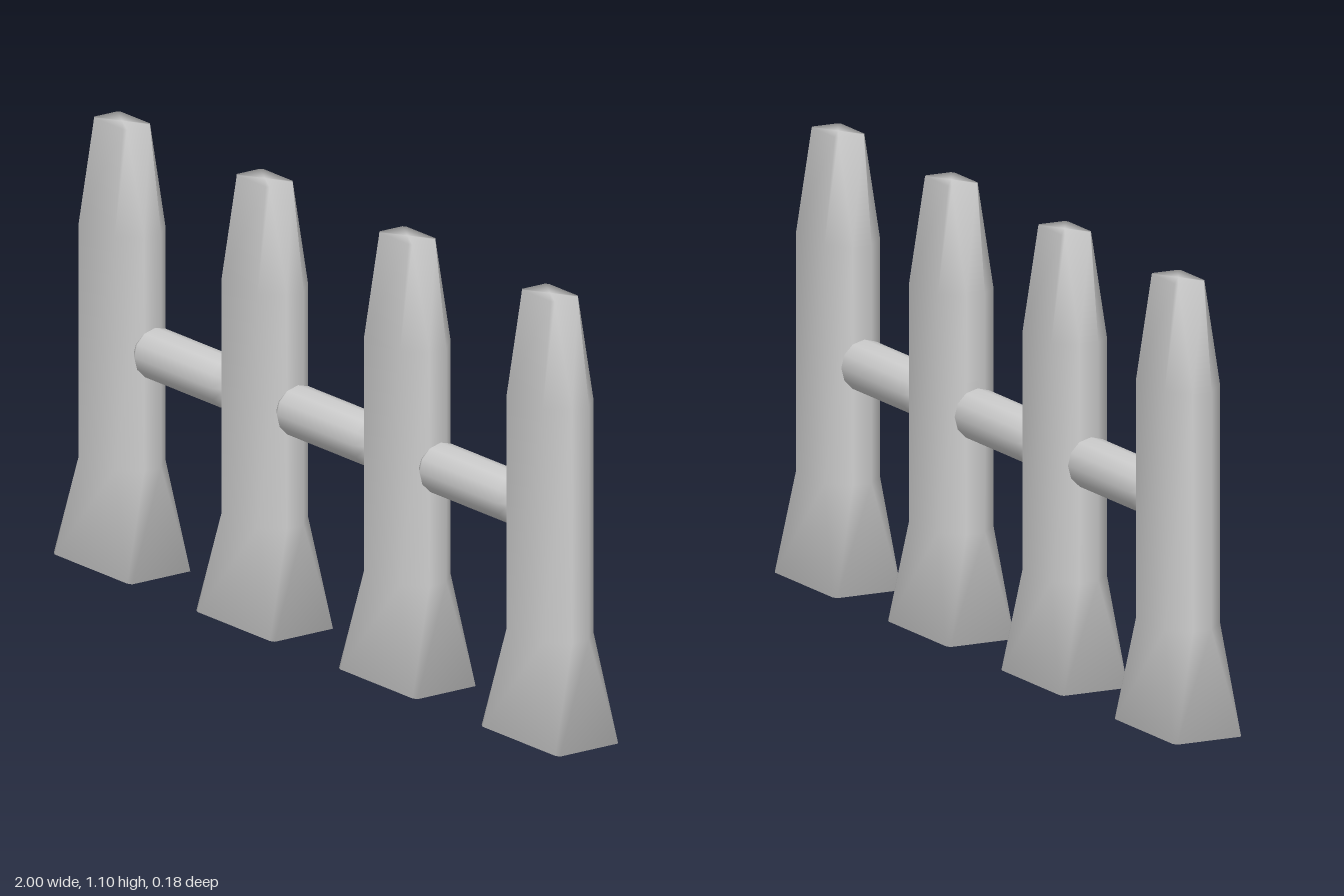
import * as THREE from 'three';

const material = new THREE.MeshStandardMaterial({ color: 0xcccccc });

// Post cross-sections: height, half width, half depth, corner cut in x and z
const SECTIONS = [
  [0, 0.155, 0.092, 0.012, 0.006],
  [0.26, 0.121, 0.075, 0.05, 0.05],
  [0.84, 0.121, 0.075, 0.05, 0.05],
  [1.097, 0.065, 0.04, 0.008, 0.006],
];

// Eight-sided ring, running from +x towards +z
function ring([y, w, d, cx, cz]) {
  return [
    [w, y, -d + cz], [w, y, d - cz], [w - cx, y, d], [-w + cx, y, d],
    [-w, y, d - cz], [-w, y, -d + cz], [-w + cx, y, -d], [w - cx, y, -d],
  ];
}

// Loft the sections into a closed, softly shaded picket
function postGeometry() {
  const n = 8;
  const last = (SECTIONS.length - 1) * n;
  const points = SECTIONS.flatMap(ring);
  const bottom = points.push([0, 0, 0]) - 1;
  const top = points.push([0, SECTIONS[SECTIONS.length - 1][0], 0]) - 1;
  const index = [];
  for (let i = 0; i < n; i++) {
    const j = (i + 1) % n;
    for (let r = 0; r < last; r += n) {
      index.push(r + i, r + n + i, r + j, r + j, r + n + i, r + n + j);
    }
    index.push(bottom, i, j, top, last + j, last + i);
  }
  const geometry = new THREE.BufferGeometry();
  geometry.setAttribute('position', new THREE.Float32BufferAttribute(points.flat(), 3));
  geometry.setIndex(index);
  geometry.computeVertexNormals();
  return geometry;
}

// Round rail with bevelled ends, lying along x
function railGeometry() {
  const half = 0.178, r = 0.0625, endR = 0.043, bevel = 0.028;
  const profile = [
    [0, -half], [endR, -half], [r, -half + bevel],
    [r, half - bevel], [endR, half], [0, half],
  ].map(([x, y]) => new THREE.Vector2(x, y));
  return new THREE.LatheGeometry(profile, 12).rotateZ(Math.PI / 2);
}

export function createModel() {
  const fence = new THREE.Group();
  fence.name = 'fence';
  const spacing = 0.5633;
  const post = postGeometry();
  const rail = railGeometry();

  const add = (geometry, name, x, y) => {
    const mesh = new THREE.Mesh(geometry, material);
    mesh.name = name;
    mesh.position.set(x, y, 0);
    fence.add(mesh);
  };

  // Four posts, with a rail bridging each gap
  for (let i = 0; i < 4; i++) add(post, `post${i + 1}`, (i - 1.5) * spacing, 0);
  for (let i = 0; i < 3; i++) add(rail, `rail${i + 1}`, (i - 1) * spacing, 0.553);
  return fence;
}
